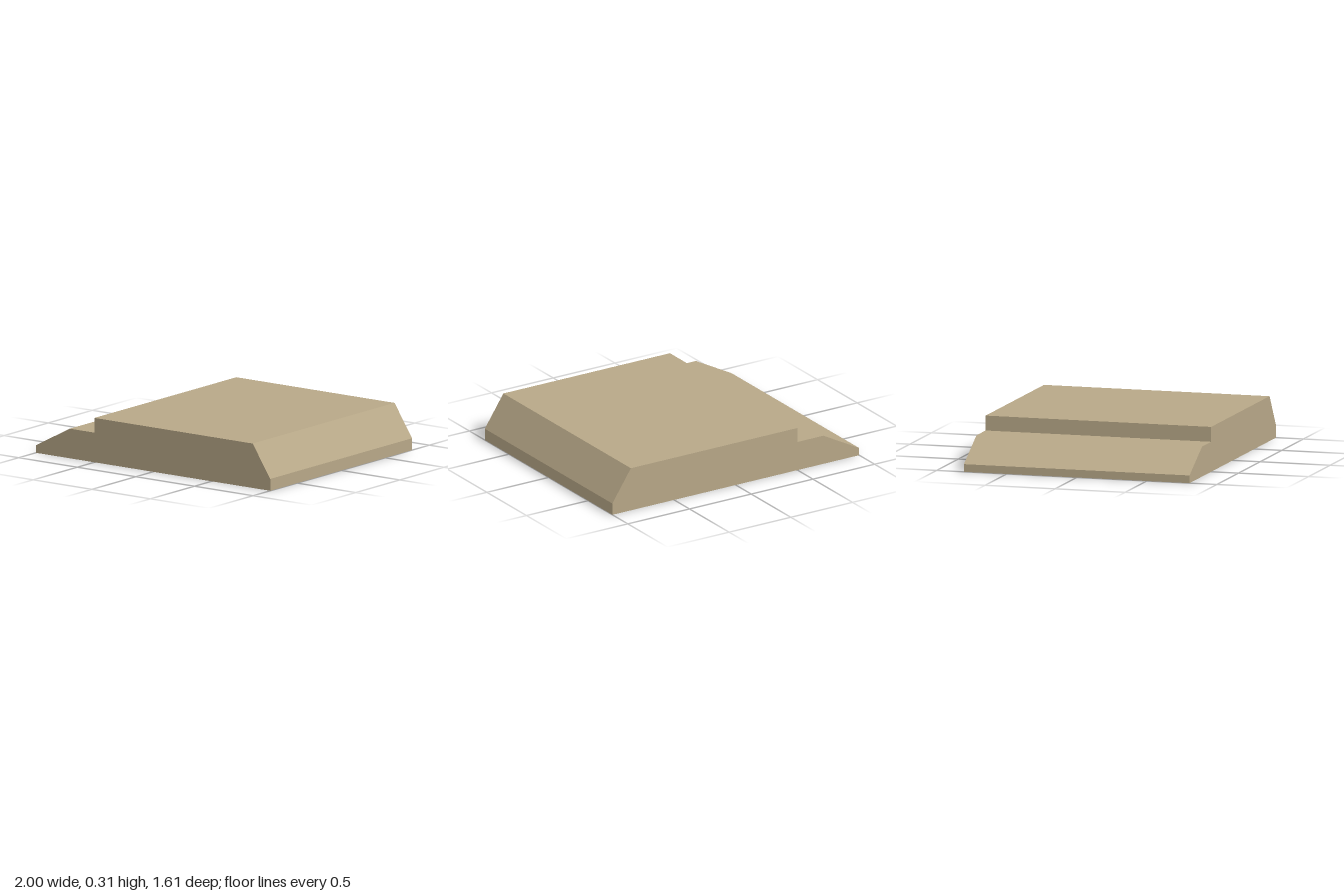
import * as THREE from 'three';

export function createModel() {
  const group = new THREE.Group();
  const tan = new THREE.MeshStandardMaterial({ color: 0xb8a888, flatShading: true });
  tan.name = 'tan';

  // Stepped side profile, extruded along z
  const depth = 1.61;
  const profile = [
    [-1, 0], [1, 0], [1, 0.083], [0.85, 0.31],
    [-0.5, 0.31], [-0.5, 0.207], [-0.71, 0.207], [-1, 0.053],
  ];
  const shape = new THREE.Shape(profile.map(([x, y]) => new THREE.Vector2(x, y)));
  const geometry = new THREE.ExtrudeGeometry(shape, { depth, bevelEnabled: false });
  geometry.translate(0, 0, -depth / 2);

  const slab = new THREE.Mesh(geometry, tan);
  slab.name = 'steppedSlab';
  group.add(slab);
  return group;
}
